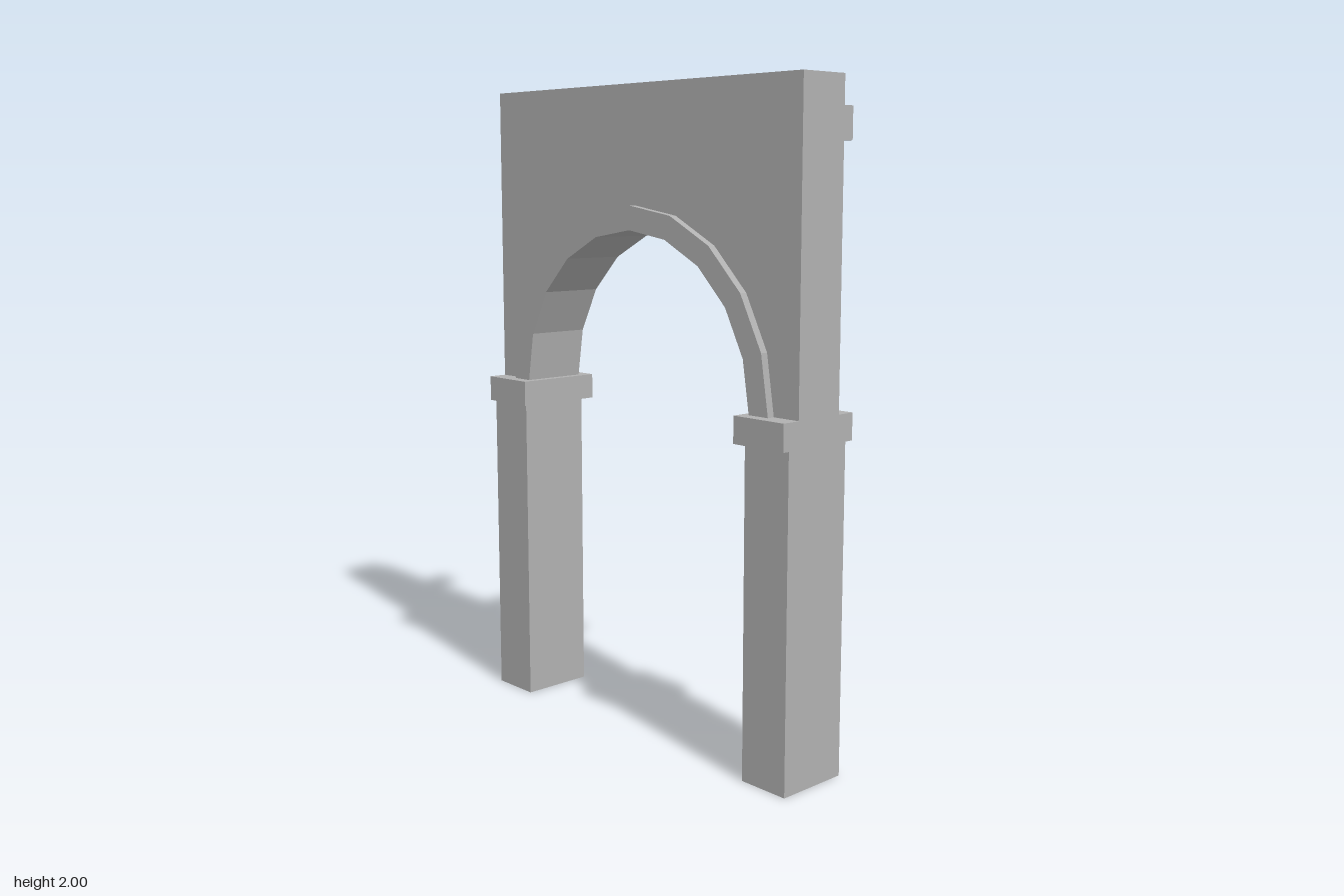
import * as THREE from 'three';

const SPRING = 1.07; // height where the arch springs from the capitals
const HALF = 0.665; // half width of the whole gate
const SEGMENTS = 10;

// Points of a faceted half circle from +x over the top to -x
function arcPoints(radius) {
  const points = [];
  for (let i = 0; i <= SEGMENTS; i++) {
    const a = (Math.PI * i) / SEGMENTS;
    points.push(new THREE.Vector2(radius * Math.cos(a), SPRING + radius * Math.sin(a)));
  }
  return points;
}

function extrude(points, z0, z1) {
  const geometry = new THREE.ExtrudeGeometry(new THREE.Shape(points), {
    depth: z1 - z0, bevelEnabled: false,
  });
  return geometry.translate(0, 0, z0);
}

// Box given by its lower and upper limits
function box(x0, x1, y0, y1, z0, z1) {
  return new THREE.BoxGeometry(x1 - x0, y1 - y0, z1 - z0)
    .translate((x0 + x1) / 2, (y0 + y1) / 2, (z0 + z1) / 2);
}

export function createModel() {
  const group = new THREE.Group();
  const stone = new THREE.MeshStandardMaterial({ color: 0xb0b0b0 });
  stone.name = 'grey stone';
  stone.flatShading = true;

  const add = (name, geometry, parent = group) => {
    const mesh = new THREE.Mesh(geometry, stone);
    mesh.name = name;
    parent.add(mesh);
    return mesh;
  };

  // Wall above the opening
  add('wall', extrude([
    ...arcPoints(0.54),
    new THREE.Vector2(-HALF, SPRING),
    new THREE.Vector2(-HALF, 2),
    new THREE.Vector2(HALF, 2),
    new THREE.Vector2(HALF, SPRING),
  ], -0.035, 0.132));

  // Arch ring, slightly proud of the wall on both faces
  add('archRing', extrude([...arcPoints(0.573), ...arcPoints(0.5).reverse()], -0.054, 0.156));

  // Pillars and their capitals
  for (const [side, s] of [['left', 1], ['right', -1]]) {
    const inner = s > 0 ? [0.5, HALF] : [-HALF, -0.5];
    const cap = s > 0 ? [0.476, HALF] : [-HALF, -0.476];
    add(side + 'Pillar', box(...inner, 0, 0.99, -0.065, 0.17));
    add(side + 'Capital', box(...cap, 0.99, SPRING, -0.094, 0.192));
  }

  // Ledge along the back
  add('backLedge', box(-HALF, HALF, 1.823, 1.916, -0.071, -0.035));

  // Ten-sided pegs on the back, each with a chamfered tip
  for (const x of [-0.446, 0, 0.444]) {
    const peg = new THREE.Group();
    peg.name = 'peg';
    peg.position.set(x, 1.736, -0.03);
    peg.rotation.x = -Math.PI / 2;
    const start = Math.PI / 2;
    add('pegShaft', new THREE.CylinderGeometry(0.049, 0.049, 0.15, 10, 1, true, start)
      .translate(0, 0.075, 0), peg);
    add('pegTip', new THREE.CylinderGeometry(0.04, 0.049, 0.01, 10, 1, false, start)
      .translate(0, 0.155, 0), peg);
    group.add(peg);
  }

  return group;
}
